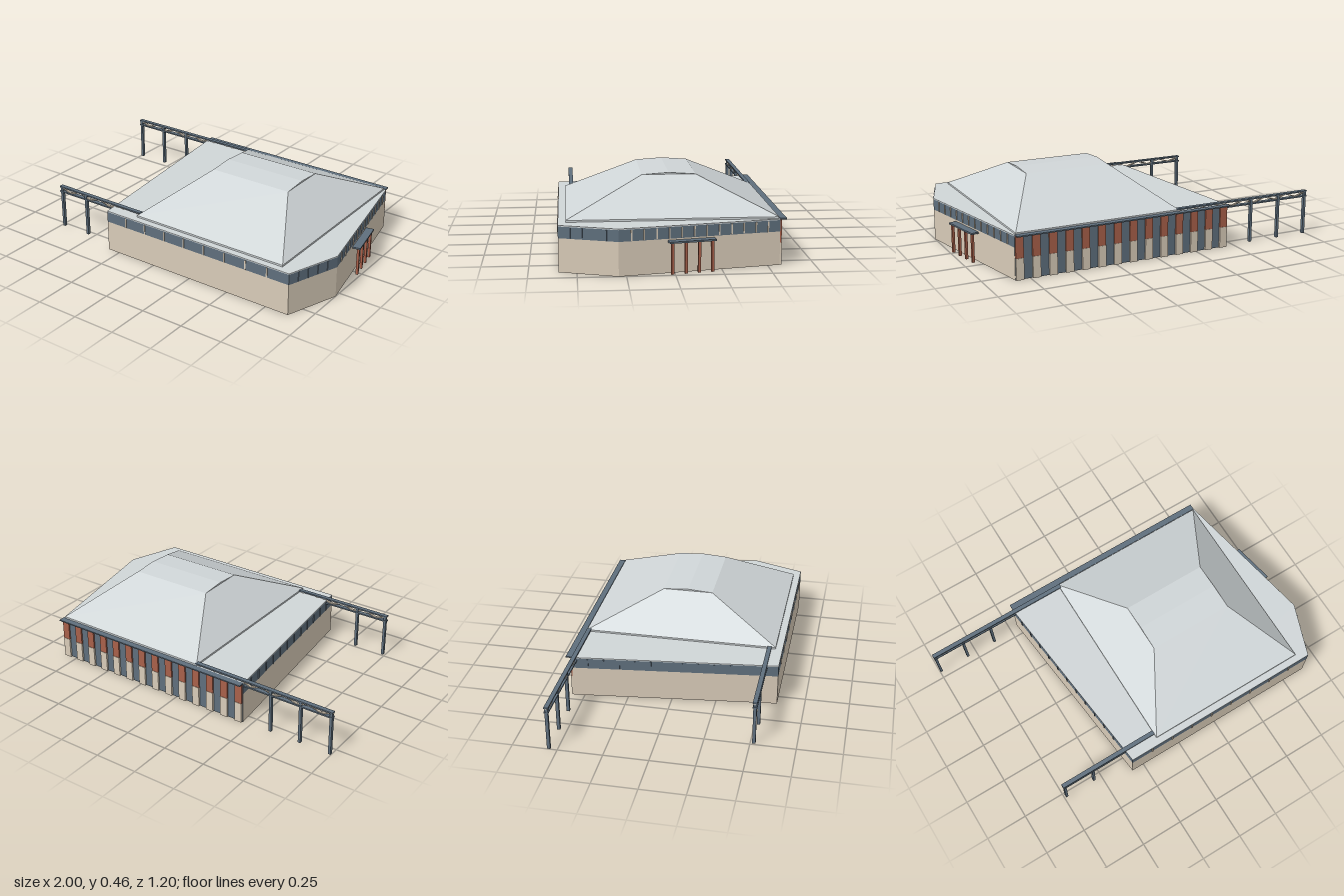
import * as THREE from 'three';

const mat = (name, color, side = THREE.FrontSide) => {
  const m = new THREE.MeshStandardMaterial({ color, side });
  m.name = name;
  return m;
};

export function createModel() {
  const model = new THREE.Group();
  model.name = 'pavilion';
  const stone = mat('beige stone', 0xd8cbb8, THREE.DoubleSide);
  const slate = mat('slate blue', 0x5f6f7d, THREE.DoubleSide);
  const roofing = mat('pale grey roofing', 0xd0d6d8);
  const rust = mat('rust red', 0xa8604a);

  const add = (parent, name, geometry, material) => {
    const mesh = new THREE.Mesh(geometry, material);
    mesh.name = name;
    parent.add(mesh);
    return mesh;
  };
  const box = (parent, name, material, w, h, d, x, y, z) => {
    const mesh = add(parent, name, new THREE.BoxGeometry(w, h, d), material);
    mesh.position.set(x, y, z);
    return mesh;
  };
  // Flat faces from corner loops, counter-clockwise from outside
  const faces = (loops) => {
    const pos = [];
    for (const l of loops)
      for (let i = 1; i < l.length - 1; i++) pos.push(...l[0], ...l[i], ...l[i + 1]);
    const g = new THREE.BufferGeometry();
    g.setAttribute('position', new THREE.Float32BufferAttribute(pos, 3));
    g.computeVertexNormals();
    return g;
  };

  // Footprint corners (x, z): front left, front right, side point, back right, back left
  const plan = [[-0.325, 0.595], [0.89, 0.595], [1.0, 0.29], [0.835, -0.565], [-0.452, -0.565]];
  const EAVE = 0.241, SILL = 0.18;
  const wall = (a, b, y0, y1) =>
    faces([[[a[0], y0, a[1]], [b[0], y0, b[1]], [b[0], y1, b[1]], [a[0], y1, a[1]]]]);

  // Walls with a window band; the back is glazed to the ground
  const bays = [9, 5, 13, 0, 13];
  const walls = new THREE.Group();
  walls.name = 'walls';
  model.add(walls);
  plan.forEach((a, i) => {
    const b = plan[(i + 1) % plan.length];
    if (i === 3) {
      add(walls, 'backGlazing', wall(a, b, 0, EAVE), slate);
      return;
    }
    add(walls, 'stoneWall', wall(a, b, 0, SILL), stone);
    add(walls, 'windowBand', wall(a, b, SILL, EAVE), slate);
    const angle = Math.atan2(a[1] - b[1], b[0] - a[0]);
    for (let k = 1; k < bays[i]; k++) {
      const t = k / bays[i];
      const m = box(walls, 'mullion', i === 0 || i === 2 ? stone : slate, 0.007, EAVE - SILL - 0.006, 0.008,
        a[0] + (b[0] - a[0]) * t, (EAVE + SILL) / 2, a[1] + (b[1] - a[1]) * t);
      m.rotation.y = angle;
    }
  });

  // Flat roof slab
  const shape = new THREE.Shape(plan.map(([x, z]) => new THREE.Vector2(x, -z)));
  const slab = new THREE.ExtrudeGeometry(shape, { depth: 0.006, bevelEnabled: false });
  slab.rotateX(-Math.PI / 2);
  add(model, 'flatRoof', slab, roofing).position.y = EAVE;

  // Hipped roof: curb, slopes and a shallow gabled cap
  const rect = (x0, x1, z0, z1, y) => [[x0, y, z1], [x1, y, z1], [x1, y, z0], [x0, y, z0]];
  const rings = [
    rect(-0.14, 0.825, -0.56, 0.555, 0.245),
    rect(-0.14, 0.825, -0.56, 0.555, 0.257),
    rect(0.095, 0.595, -0.145, 0.145, 0.45),
  ];
  const loops = [];
  for (let r = 0; r < 2; r++)
    for (let i = 0; i < 4; i++) {
      const j = (i + 1) % 4;
      loops.push([rings[r][i], rings[r][j], rings[r + 1][j], rings[r + 1][i]]);
    }
  const [fl, fr, br, bl] = rings[2];
  const ridgeL = [0.095, 0.46, 0], ridgeR = [0.595, 0.46, 0];
  loops.push([fl, fr, ridgeR, ridgeL], [br, bl, ridgeL, ridgeR], [fr, br, ridgeR], [bl, fl, ridgeL]);
  add(model, 'hippedRoof', faces(loops), roofing);

  // Back eave and two-tone piers
  const back = new THREE.Group();
  back.name = 'backFacade';
  model.add(back);
  box(back, 'backEave', slate, 1.285, 0.007, 0.035, 0.19, 0.247, -0.5825);
  const piers = 14;
  for (let i = 0; i < piers; i++) {
    const x = -0.425 + (1.235 * i) / (piers - 1);
    box(back, 'lowerPier', stone, 0.045, 0.12, 0.012, x, 0.06, -0.57);
    box(back, 'upperPier', rust, 0.045, 0.121, 0.01, x, 0.1805, -0.569);
  }

  // Entrance canopy along the slanted side wall
  const canopy = new THREE.Group();
  canopy.name = 'entranceCanopy';
  canopy.position.set(0.95, 0, -0.09);
  canopy.rotation.y = Math.atan2(0.165, 0.855);
  model.add(canopy);
  box(canopy, 'canopySlab', slate, 0.045, 0.009, 0.25, 0, 0.168, 0);
  for (let i = 0; i < 4; i++)
    box(canopy, 'canopyColumn', rust, 0.014, 0.164, 0.014, 0.008, 0.082, -0.107 + i * 0.0715);

  // Trussed beams on posts running out to one side
  const truss = (name, x0, x1, z, posts) => {
    const g = new THREE.Group();
    g.name = name;
    model.add(g);
    const len = x1 - x0, mid = (x0 + x1) / 2;
    box(g, 'topChord', slate, len, 0.008, 0.025, mid, 0.258, z);
    box(g, 'bottomChord', slate, len, 0.008, 0.025, mid, 0.229, z);
    const n = Math.round(len / 0.075), step = len / n, rise = 0.024;
    for (let i = 0; i < n; i++) {
      const web = box(g, 'webMember', stone, Math.hypot(step, rise), 0.006, 0.012, x0 + (i + 0.5) * step, 0.2435, z);
      web.rotation.z = (i % 2 ? 1 : -1) * Math.atan2(rise, step);
    }
    for (const x of posts) box(g, 'post', slate, 0.015, 0.255, 0.018, x, 0.1275, z);
  };
  truss('backTruss', -1, -0.13, -0.548, [-0.99, -0.805, -0.62]);
  truss('frontTruss', -0.745, -0.14, 0.52, [-0.733, -0.547]);

  return model;
}
